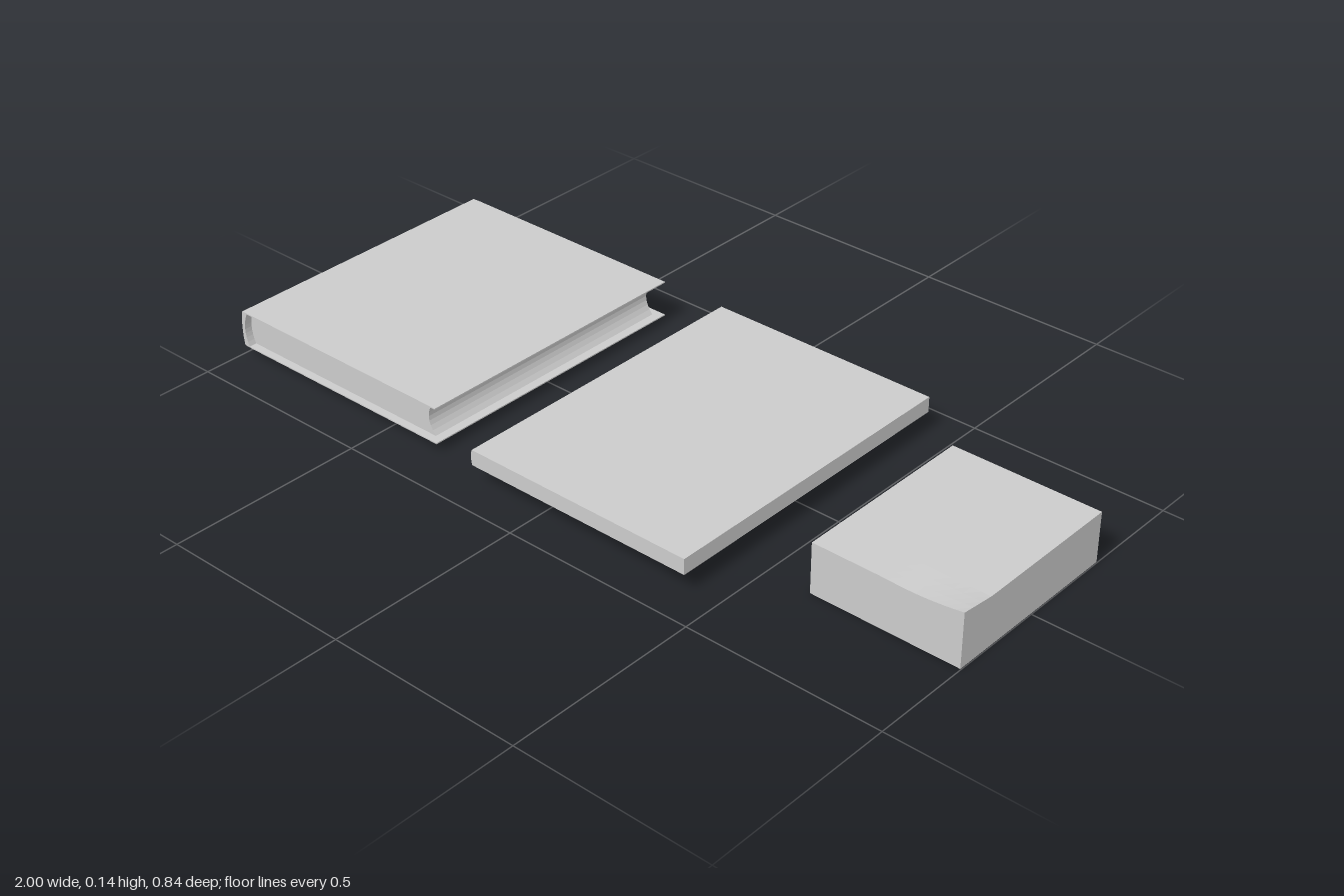
import * as THREE from 'three';

const material = new THREE.MeshStandardMaterial({ color: 0xcccccc, flatShading: true });

// Extrude a front outline (x, y) along z, centred on z = 0
function slab(name, shape, depth) {
  const geometry = new THREE.ExtrudeGeometry(shape, { depth, bevelEnabled: false, curveSegments: 8 });
  geometry.translate(0, 0, -depth / 2);
  const mesh = new THREE.Mesh(geometry, material);
  mesh.name = name;
  return mesh;
}

// Hardcover: thin wrap-around cover and a block with a hollow fore edge
function hardcoverBook() {
  const book = new THREE.Group();
  book.name = 'hardcoverBook';
  const left = -1, right = -0.342, low = 0.023, high = 0.117, t = 0.003;

  const cover = new THREE.Shape();
  cover.moveTo(right, low);
  cover.lineTo(right, low + t);
  cover.lineTo(left + 0.02, low + t);
  cover.quadraticCurveTo(left - 0.004 + t, 0.07, left + 0.02, high - t);
  cover.lineTo(right, high - t);
  cover.lineTo(right, high);
  cover.lineTo(left + 0.025, high);
  cover.lineTo(left + 0.004, high - 0.001);
  cover.quadraticCurveTo(left - 0.004, 0.07, left + 0.004, low + 0.001);
  cover.lineTo(left + 0.025, low);
  cover.closePath();
  book.add(slab('cover', cover, 0.77));

  const pages = new THREE.Shape();
  pages.moveTo(left + 0.02, low + t);
  pages.lineTo(-0.365, low + t);
  pages.quadraticCurveTo(-0.405, 0.07, -0.365, high - t);
  pages.lineTo(left + 0.02, high - t);
  pages.quadraticCurveTo(left - 0.001, 0.07, left + 0.02, low + t);
  book.add(slab('pages', pages, 0.73));
  return book;
}

// Thin softcover with a barely rounded spine
function softcoverBook() {
  const shape = new THREE.Shape();
  shape.moveTo(-0.192, 0.05);
  shape.lineTo(0.425, 0.05);
  shape.lineTo(0.425, 0.09);
  shape.lineTo(-0.192, 0.09);
  shape.quadraticCurveTo(-0.198, 0.07, -0.192, 0.05);
  return slab('softcoverBook', shape, 0.84);
}

// Paper block whose front left corner curls up
function notePad() {
  const geometry = new THREE.BoxGeometry(0.382, 0.128, 0.486, 16, 1, 16);
  geometry.translate(0.807, 0.064, 0);
  const p = geometry.attributes.position;
  for (let i = 0; i < p.count; i++) {
    if (p.getY(i) < 0.1) continue;
    const u = THREE.MathUtils.clamp((p.getX(i) - 0.8) / 0.198, 0, 1);
    const v = THREE.MathUtils.clamp((p.getZ(i) - 0.15) / 0.093, 0, 1);
    p.setY(i, 0.128 + v * (0.011 * u ** 2 - 0.003 * Math.sin(Math.PI * u)));
  }
  geometry.computeVertexNormals();
  const mesh = new THREE.Mesh(geometry, material);
  mesh.name = 'notePad';
  return mesh;
}

export function createModel() {
  const model = new THREE.Group();
  model.name = 'bookSet';
  model.add(hardcoverBook(), softcoverBook(), notePad());
  return model;
}
